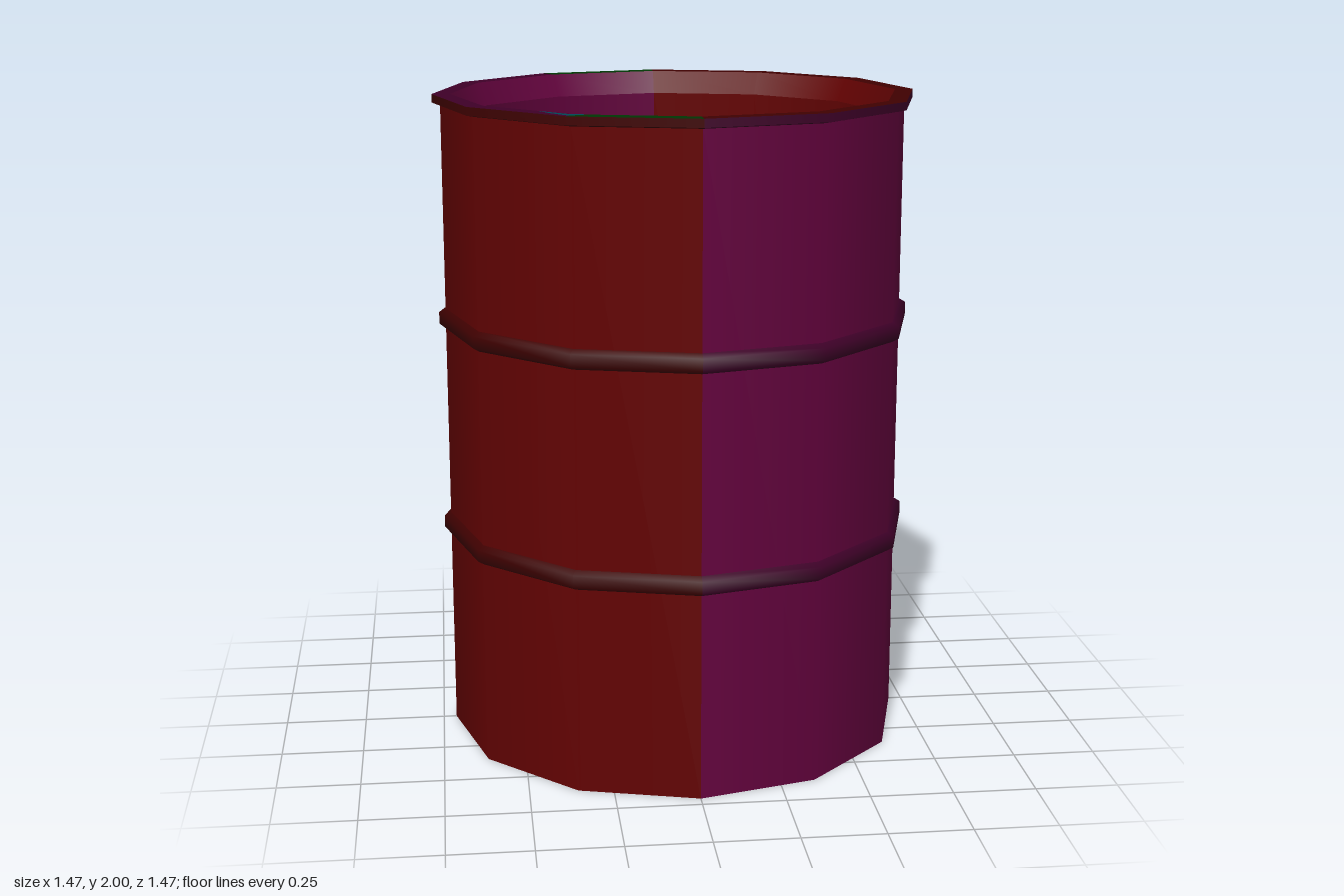
import * as THREE from 'three';
import { mergeGeometries } from 'three/addons/utils/BufferGeometryUtils.js';

const mat = (name, color) => {
  const m = new THREE.MeshStandardMaterial({ color });
  m.name = name;
  return m;
};

export function createModel() {
  const purple = mat('purple', 0x63013d);
  const red = mat('red', 0x630202);
  const darkPurple = mat('dark purple', 0x3e0028);
  const darkRed = mat('dark red', 0x3f0101);
  const green = mat('green', 0x003703);
  const yellow = mat('yellow', 0x5f4e02);
  const teal = mat('teal', 0x004858);

  const model = new THREE.Group();
  model.name = 'barrel';
  const add = (name, geometry, material) => {
    const mesh = new THREE.Mesh(geometry, material);
    mesh.name = name;
    model.add(mesh);
    return mesh;
  };

  // Twelve-sided turned shape, smooth around; each profile is smooth along its
  // length, and separate profiles meet in sharp edges
  const step = Math.PI / 6;
  const turn = (name, profiles, material, first = 0, count = 6) => {
    const bands = profiles.map((profile) => new THREE.LatheGeometry(
      profile.map(([r, y]) => new THREE.Vector2(r, y)), count, first * step, count * step));
    add(name, mergeGeometries(bands), material);
  };
  // Left half (+x) in one colour, right half in the other
  const halves = (name, profiles, left, right) => {
    turn(name + 'Left', profiles, left, 0);
    turn(name + 'Right', profiles, right, 6);
  };

  // Outer wall, and inner wall with its bevelled mouth
  halves('outerWall', [[[0.71, 0], [0.71, 1.97]]], purple, red);
  halves('innerWall', [[[0.68, 2], [0.65, 1.93]], [[0.65, 1.93], [0.65, 0.04]]], red, purple);

  // Two raised, rounded hoops
  for (const [name, y] of [['lowerHoop', 0.66], ['upperHoop', 1.315]]) {
    halves(name, [[[0.71, y - 0.03], [0.73, y - 0.018], [0.73, y + 0.018], [0.71, y + 0.03]]],
      darkPurple, darkRed);
  }

  // Rim: outside band, then the flat top with two green sections
  halves('rimBand', [[[0.71, 1.97], [0.735, 1.975]], [[0.735, 1.975], [0.735, 2]]], darkPurple, darkRed);
  const rimTop = [[[0.735, 2], [0.68, 2]]];
  turn('rimTopLeft', rimTop, darkRed, 0, 6);
  turn('rimTopBackPatch', rimTop, green, 6, 1);
  turn('rimTopRight', rimTop, darkPurple, 7, 4);
  turn('rimTopFrontPatch', rimTop, green, 11, 1);

  // Floor inside and base underneath
  const floor = add('floor', new THREE.CircleGeometry(0.65, 12), yellow);
  floor.rotation.x = -Math.PI / 2;
  floor.position.y = 0.04;
  const base = add('base', new THREE.CircleGeometry(0.71, 12), purple);
  base.rotation.x = Math.PI / 2;
  base.position.y = 0.004;

  // Flat painted patch from x, z corners, facing up or down
  const patch = (name, material, corners, y, up) => {
    const side = up ? -1 : 1;
    const shape = new THREE.Shape(corners.map(([x, z]) => new THREE.Vector2(x, side * z)));
    const mesh = add(name, new THREE.ShapeGeometry(shape), material);
    mesh.rotation.x = side * Math.PI / 2;
    mesh.position.y = y;
  };

  // Worn spot on the rim
  patch('rimTealSpot', teal,
    [[-0.44, 0.5], [-0.36, 0.585], [-0.3, 0.605], [-0.36, 0.628], [-0.41, 0.56]], 2.001, true);

  // Painted patches on the base
  patch('baseTealRight', teal,
    [[-0.12, -0.07], [-0.13, -0.5], [-0.02, -0.7], [-0.355, -0.615], [-0.615, -0.355], [-0.71, 0]], 0, false);
  patch('baseTealLeft', teal,
    [[0.71, 0], [0.615, -0.355], [0.355, -0.615], [0.24, -0.62], [0.25, -0.42], [0.5, -0.07]], 0, false);
  patch('baseRedBack', red, [[0, -0.7], [0.2, -0.65], [0.19, -0.5], [-0.1, -0.45]], 0, false);
  patch('baseRedFront', red,
    [[0.355, 0.615], [0.25, 0.48], [0.07, 0.48], [-0.07, 0.57], [0, 0.71]], 0, false);
  patch('baseYellow', yellow, [[0.615, 0.355], [0.42, 0.23], [0.4, 0.42], [0.5, 0.47]], 0, false);

  return model;
}
